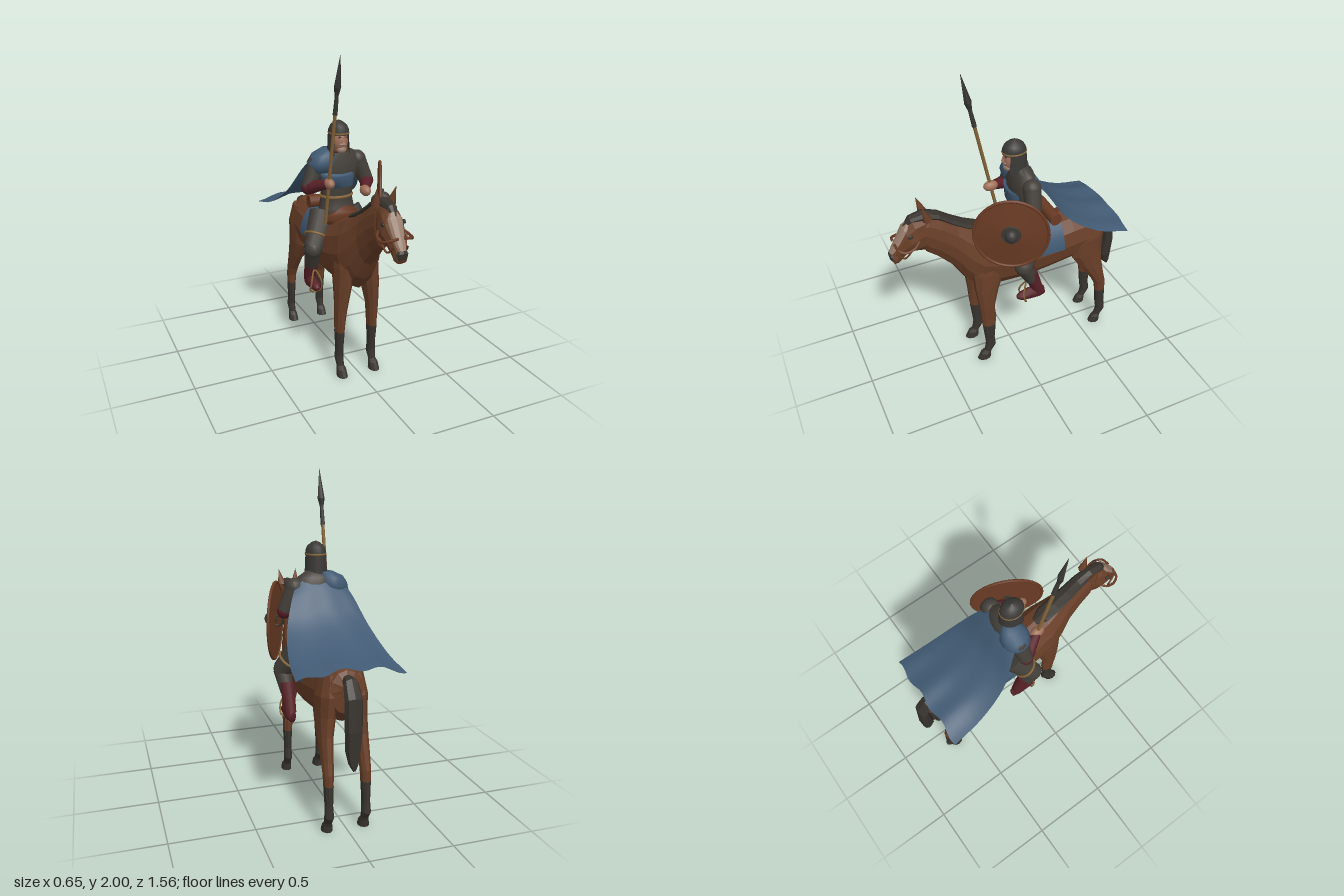
import * as THREE from 'three';

const mat = (name, color, extra = {}) => Object.assign(new THREE.MeshStandardMaterial({ color, ...extra }), { name });
const V = (x, y, z) => new THREE.Vector3(x, y, z);

// Skin over elliptical rings; row = [zTop, yTop, zBottom, yBottom, halfWidth, x]
function skin(rows, n = 12, flat = true) {
  const pos = [], idx = [];
  for (const [zt, yt, zb, yb, rx, x = 0] of rows)
    for (let j = 0; j < n; j++) {
      const a = (j / n) * Math.PI * 2, s = Math.sin(a) / 2;
      pos.push(x + rx * Math.cos(a), (yt + yb) / 2 + (yt - yb) * s, (zt + zb) / 2 + (zt - zb) * s);
    }
  for (let i = 0; i < rows.length - 1; i++)
    for (let j = 0; j < n; j++) {
      const k = (j + 1) % n, a = i * n, b = a + n;
      idx.push(a + j, a + k, b + k, a + j, b + k, b + j);
    }
  const last = (rows.length - 1) * n;
  for (let j = 1; j < n - 1; j++) idx.push(0, j + 1, j, last, last + j, last + j + 1);
  let g = new THREE.BufferGeometry();
  g.setAttribute('position', new THREE.Float32BufferAttribute(pos, 3));
  g.setIndex(idx);
  if (flat) g = g.toNonIndexed();
  g.computeVertexNormals();
  return g;
}

// Tapered rod between two points
function rod(a, b, ra, rb, n = 12) {
  const d = b.clone().sub(a);
  const g = new THREE.CylinderGeometry(rb, ra, d.length(), n);
  g.applyQuaternion(new THREE.Quaternion().setFromUnitVectors(V(0, 1, 0), d.normalize()));
  return g.translate((a.x + b.x) / 2, (a.y + b.y) / 2, (a.z + b.z) / 2);
}
const ball = (p, rx, ry = rx, rz = rx) => new THREE.SphereGeometry(1, 14, 10).scale(rx, ry, rz).translate(p.x, p.y, p.z);
const tube = (pts, r, closed = false) => new THREE.TubeGeometry(new THREE.CatmullRomCurve3(pts, closed), 28, r, 6, closed);

export function createModel() {
  const model = new THREE.Group();
  const coat = mat('chestnut coat', 0x693f28), dark = mat('dark hair', 0x38332d), cloth = mat('charcoal cloth', 0x443f39),
    blue = mat('blue wool', 0x415a73, { side: THREE.DoubleSide }), red = mat('dark red leather', 0x582127),
    wood = mat('tan wood', 0x866539), skinTone = mat('skin', 0xa0705a), leather = mat('brown leather', 0x6a3b24),
    steel = mat('dark steel', 0x3b3936, { side: THREE.DoubleSide }), pale = mat('pale blaze', 0x9a806f);
  const add = (name, geo, m, parent = model) => {
    const mesh = new THREE.Mesh(geo, m);
    mesh.name = name;
    parent.add(mesh);
    return mesh;
  };

  // Horse trunk and neck, rump to poll
  add('horseBody', skin([
    [-.655, .89, -.65, .80, .04], [-.62, .95, -.64, .70, .10], [-.52, .99, -.56, .63, .145], [-.40, .985, -.42, .61, .15],
    [-.25, .965, -.25, .585, .15], [-.07, .96, -.07, .57, .155], [.08, 1.0, .10, .575, .15], [.20, 1.06, .24, .59, .14],
    [.27, 1.09, .32, .68, .115], [.35, 1.14, .39, .80, .085], [.45, 1.21, .47, .89, .07], [.53, 1.24, .55, .96, .06],
    [.58, 1.22, .58, 1.05, .045]]), coat);
  add('horseHead', skin([
    [.53, 1.25, .55, .98, .05], [.63, 1.235, .58, .99, .07], [.68, 1.18, .62, 1.0, .071], [.72, 1.11, .66, 1.0, .056],
    [.755, 1.05, .695, .965, .042], [.777, 1.01, .72, .945, .042], [.768, .975, .75, .942, .03]], 10), coat);
  add('blaze', skin([
    [.664, 1.213, .635, 1.19, .025], [.688, 1.18, .655, 1.165, .046], [.728, 1.11, .69, 1.095, .038],
    [.763, 1.05, .73, 1.035, .03], [.776, 1.025, .75, 1.015, .022]], 8), pale);
  add('nosePatch', skin([
    [.774, 1.024, .74, 1.01, .028], [.782, 1.01, .74, .99, .038], [.774, .972, .745, .965, .029]], 8), dark);
  add('mane', skin([
    [.14, 1.033, .15, 1.01, .025], [.20, 1.07, .21, 1.03, .055], [.29, 1.112, .31, 1.07, .056], [.38, 1.17, .40, 1.125, .05],
    [.46, 1.23, .475, 1.18, .045], [.55, 1.264, .57, 1.2, .04], [.64, 1.246, .63, 1.2, .032], [.682, 1.19, .66, 1.165, .012]], 8), dark);
  add('tail', skin([
    [-.62, .87, -.64, .93, .03], [-.68, .85, -.70, .925, .045], [-.705, .78, -.765, .83, .053], [-.70, .63, -.78, .64, .052],
    [-.69, .52, -.775, .52, .045], [-.715, .45, -.772, .45, .03], [-.755, .408, -.766, .412, .008]], 8), dark);

  const noseband = [V(.015, 1.085, .742), V(.07, 1.075, .735), V(.095, 1.065, .70), V(.092, 1.075, .645), V(.06, 1.1, .60)];
  for (const s of [1, -1]) {
    const side = s > 0 ? 'left' : 'right';
    const leg = rows => skin(rows.map(r => [...r.slice(0, 5), r[5] * s]), 10);
    // Horse legs with dark socks and hooves
    add(side + 'FrontLeg', leg([
      [.26, .90, .06, .87, .04, .08], [.29, .74, .07, .72, .062, .08], [.28, .61, .12, .59, .053, .093],
      [.257, .45, .155, .45, .038, .107], [.25, .36, .145, .36, .031, .11], [.242, .30, .152, .30, .029, .112]]), coat);
    add(side + 'FrontSock', leg([
      [.243, .30, .151, .30, .030, .112], [.228, .18, .16, .17, .024, .112], [.222, .13, .153, .10, .028, .112],
      [.232, .065, .185, .055, .024, .112], [.262, .045, .19, .04, .03, .112], [.285, 0, .19, 0, .034, .112]]), dark);
    add(side + 'HindLeg', leg([
      [-.43, .92, -.61, .92, .05, .075], [-.395, .78, -.645, .80, .066, .086], [-.41, .65, -.635, .68, .056, .094],
      [-.48, .54, -.64, .57, .045, .104], [-.57, .42, -.668, .43, .036, .11], [-.60, .36, -.685, .36, .032, .112],
      [-.612, .29, -.686, .28, .029, .112]]), coat);
    add(side + 'HindSock', leg([
      [-.611, .30, -.687, .29, .030, .112], [-.622, .18, -.692, .17, .024, .112], [-.633, .12, -.70, .10, .028, .112],
      [-.622, .06, -.672, .06, .024, .112], [-.60, .04, -.665, .04, .03, .112], [-.58, 0, -.665, 0, .034, .112]]), dark);
    const ear = add(side + 'Ear', new THREE.ConeGeometry(.029, .11, 6), coat);
    ear.position.set(.053 * s, 1.272, .555);
    ear.rotation.set(.3, 0, -.12 * s);
    add(side + 'HorseEye', ball(V(.066 * s, 1.145, .655), .009, .013, .016), dark);
    add(side + 'Noseband', tube(noseband.map(p => V(p.x * s, p.y, p.z)), .008), leather);
    add(side + 'CheekStrap', tube([V(.045 * s, 1.04, .745), V(.06 * s, 1.0, .70), V(.085 * s, 1.07, .65)], .006), leather);

    // Rider leg, boot and stirrup
    const knee = V(.2 * s, .79, -.01);
    add(side + 'Thigh', rod(V(.09 * s, .98, -.11), knee, .085, .06), cloth);
    add(side + 'Knee', ball(knee, .054, .062, .06), cloth);
    add(side + 'Shin', rod(knee, V(.185 * s, .66, -.07), .056, .042), cloth);
    add(side + 'Boot', rod(V(.18 * s, .54, -.125), V(.185 * s, .72, -.06), .037, .047), red);
    add(side + 'Foot', skin([
      [-.165, .56, -.165, .49, .022, .18 * s], [-.12, .58, -.12, .485, .034, .18 * s],
      [-.06, .575, -.06, .49, .034, .18 * s], [0, .555, 0, .5, .03, .18 * s], [.025, .54, .025, .515, .014, .18 * s]], 10, false), red);
    const band = add(side + 'TunicHem', new THREE.TorusGeometry(.073, .008, 6, 20), wood);
    band.position.set(.16 * s, .86, -.045);
    band.lookAt(knee);
    add(side + 'Stirrup', tube([V(.148 * s, .495, -.025), V(.145 * s, .56, -.005), V(.18 * s, .635, -.035),
      V(.213 * s, .56, -.005), V(.21 * s, .495, -.025)], .006, true), wood);

    // Rider arm, with sleeve cuff and hand
    const shoulder = V(.137 * s, 1.32, -.085), elbow = V(.198 * s, 1.175, -.07);
    const hand = s > 0 ? V(.105, 1.165, .105) : V(-.12, 1.225, .07);
    add(side + 'Shoulder', ball(shoulder, .057), cloth);
    add(side + 'UpperArm', rod(shoulder, elbow, .056, .046), cloth);
    add(side + 'Elbow', ball(elbow, .046), red);
    add(side + 'Forearm', rod(elbow, hand, .045, .026), red);
    add(side + 'Hand', ball(hand, .031, .034, .048), skinTone);
  }

  // Saddle, blanket and bedroll
  add('saddleBlanket', new THREE.CylinderGeometry(1, 1, .27, 20, 1, true, -1.5, 3)
    .rotateX(-Math.PI / 2).scale(.165, .218, 1).translate(0, .778, -.185), blue);
  add('saddle', skin([[-.21, .99, -.21, .92, .08], [-.17, .995, -.17, .9, .12], [-.08, .995, -.08, .9, .13],
    [.02, 1.03, .02, .92, .11], [.06, 1.07, .06, .95, .08]], 12, false), leather);
  add('bedroll', new THREE.CylinderGeometry(.04, .04, .24, 14).rotateZ(Math.PI / 2).translate(0, 1.015, -.27), leather);

  // Rider torso, rows run back to front
  add('tunic', skin([
    [-.19, .94, .02, .94, .13], [-.185, 1.03, -.01, 1.03, .115], [-.17, 1.1, -.02, 1.1, .1], [-.17, 1.22, 0, 1.22, .125],
    [-.16, 1.32, 0, 1.32, .15], [-.14, 1.38, -.02, 1.38, .115], [-.10, 1.415, -.02, 1.415, .05]], 16, false), cloth);
  add('belt', new THREE.TorusGeometry(1, .09, 6, 24).rotateX(Math.PI / 2).scale(.102, .12, .079).translate(0, 1.1, -.095), wood);
  add('chestWrap', skin([
    [-.1, 1.17, .01, 1.17, .1, -.01], [-.1, 1.24, .014, 1.24, .113, -.015], [-.1, 1.30, .01, 1.25, .11, -.02]], 16, false), blue);
  add('shoulderMantle', skin([
    [-.16, 1.27, -.01, 1.27, .075, -.115], [-.172, 1.325, .008, 1.325, .095, -.102], [-.16, 1.375, -.005, 1.375, .08, -.088],
    [-.13, 1.41, -.035, 1.405, .045, -.06]], 16, false), blue);
  add('collar', new THREE.TorusGeometry(.05, .016, 8, 20).rotateX(Math.PI / 2).translate(-.01, 1.405, -.05), leather);

  // Head and helmet
  add('face', ball(V(-.01, 1.46, -.022), .05, .075, .056), skinTone);
  add('nose', new THREE.ConeGeometry(.012, .035, 6).translate(-.01, 1.475, .036), skinTone);
  add('moustache', ball(V(-.01, 1.447, .028), .026, .008, .01), pale);
  add('beard', ball(V(-.01, 1.412, .006), .032, .026, .026), pale);
  for (const x of [-.03, .01]) add('riderBrow', ball(V(x, 1.49, .024), .012, .004, .006), dark);
  add('helmet', new THREE.LatheGeometry([[.062, 0], [.061, .03], [.05, .056], [.028, .076], [0, .088]]
    .map(p => new THREE.Vector2(...p)), 16).scale(1, 1, 1.2).translate(-.01, 1.5, -.037), steel);
  add('helmetBand', new THREE.TorusGeometry(.061, .004, 6, 24).rotateX(Math.PI / 2).scale(1, 1.5, 1.2).translate(-.01, 1.51, -.037), wood);
  add('neckGuard', new THREE.CylinderGeometry(.062, .068, .13, 18, 1, true, .85, 2 * Math.PI - 1.7)
    .scale(1, 1, 1.18).translate(-.01, 1.44, -.04), steel);

  // Flowing cloak
  const fall = new THREE.CatmullRomCurve3([V(.15, 1.385, -.12), V(.19, 1.31, -.175), V(.25, 1.155, -.28), V(.297, 1.025, -.48), V(.32, .972, -.69)]);
  const cloak = new THREE.PlaneGeometry(1, 1, 24, 16), p = cloak.attributes.position;
  for (let i = 0; i < p.count; i++) {
    const u = p.getX(i) * 2, t = .5 - p.getY(i), c = fall.getPoint(t);
    const ripple = Math.sin(u * 9) * .01 * t;
    p.setXYZ(i, u * c.x - .01, c.y - .045 * u * u + ripple, c.z + ripple);
  }
  cloak.computeVertexNormals();
  add('cloak', cloak, blue);

  // Spear
  const at = y => V(-.122, y, .235 - (1.995 - y) * .215);
  add('spearShaft', rod(at(.95), at(1.7), .011, .011, 8), wood);
  add('spearSocket', rod(at(1.66), at(1.8), .015, .011, 8), steel);
  add('spearBladeBase', rod(at(1.75), at(1.82), .008, .023, 4), steel);
  add('spearBlade', rod(at(1.82), at(2), .023, .001, 4), steel);

  // Round shield, turned outward
  const shield = new THREE.Group();
  shield.name = 'shield';
  shield.position.set(.222, 1.083, .088);
  shield.rotation.y = 1.116;
  shield.scale.y = 1.07;
  model.add(shield);
  add('shieldFace', new THREE.CylinderGeometry(.04, .225, .022, 32).rotateX(Math.PI / 2), leather, shield);
  add('shieldRim', new THREE.TorusGeometry(.225, .009, 8, 40).translate(0, 0, -.008), leather, shield);
  add('shieldBossPlate', new THREE.CylinderGeometry(.056, .06, .012, 20).rotateX(Math.PI / 2).translate(0, .01, .012), steel, shield);
  add('shieldBoss', ball(V(0, .01, .02), .04), steel, shield);
  add('shieldGrip', new THREE.TorusGeometry(.03, .006, 6, 16).rotateY(Math.PI / 2).translate(0, 0, -.025), dark, shield);
  return model;
}
